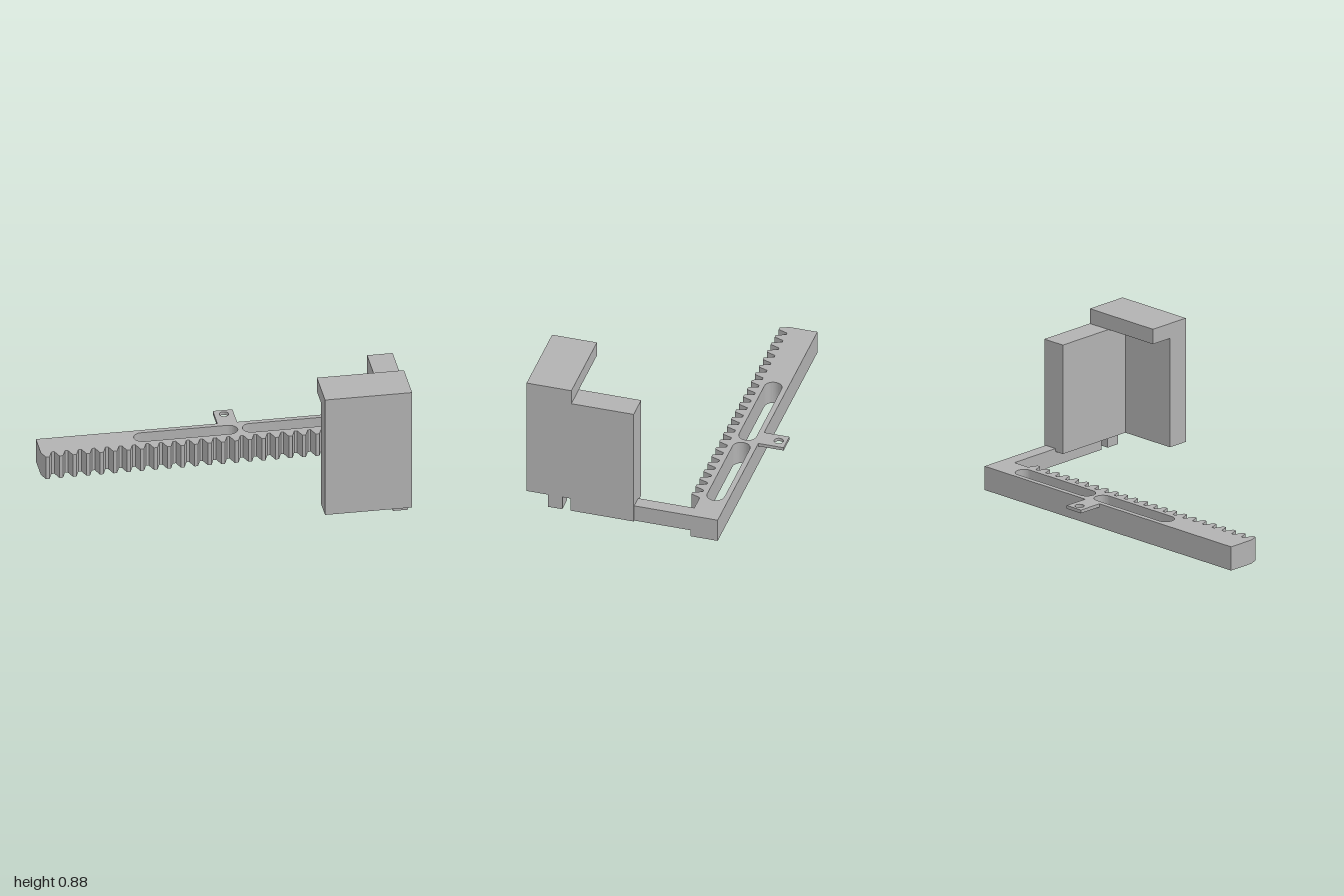
import * as THREE from 'three';
import { toCreasedNormals } from 'three/addons/utils/BufferGeometryUtils.js';

const grey = new THREE.MeshStandardMaterial({ color: 0xb2b2b2 });
grey.name = 'grey plastic';

const polygon = (points) => new THREE.Shape(points.map(([a, b]) => new THREE.Vector2(a, b)));

function addMesh(group, name, geometry) {
  const mesh = new THREE.Mesh(toCreasedNormals(geometry, 0.5), grey);
  mesh.name = name;
  group.add(mesh);
}

// Plan outline (x, -z) raised from y0 to y1
function plan(shape, y0, y1) {
  return new THREE.ExtrudeGeometry(shape, { depth: y1 - y0, bevelEnabled: false, curveSegments: 16 })
    .rotateX(-Math.PI / 2).translate(0, y0, 0);
}

// Side outline (z, y) swept from x0 to x1
function side(points, x0, x1) {
  return new THREE.ExtrudeGeometry(polygon(points), { depth: x1 - x0, bevelEnabled: false })
    .rotateY(-Math.PI / 2).translate(x1, 0, 0);
}

// Round-ended slot between x0 and x1, centred on plan height v
function slot(x0, x1, v, r) {
  const p = new THREE.Path();
  p.absarc(x1 - r, v, r, -Math.PI / 2, Math.PI / 2);
  p.absarc(x0 + r, v, r, Math.PI / 2, Math.PI * 1.5);
  p.closePath();
  return p;
}

export function createModel() {
  const model = new THREE.Group();
  model.name = 'rackSlider';

  // Toothed rack bar with two through slots
  const root = 0.333, tip = 0.277, back = 0.498;
  const outline = [[0.99, root], [0.99, back], [-1, back]];
  for (let i = 0; i < 23; i++) {
    const x = -0.969 + i * 0.079;
    outline.push([x - 0.031, root], [x - 0.0105, tip], [x + 0.0105, tip], [x + 0.031, root]);
  }
  const bar = polygon(outline);
  bar.holes.push(slot(-0.441, 0.167, 0.415, 0.052), slot(0.195, 0.803, 0.415, 0.052));
  addMesh(model, 'rack', plan(bar, 0, 0.145));

  // Thin rear tab with a screw hole
  const tab = polygon([[0.063, back], [0.178, back], [0.178, 0.65], [0.063, 0.65]]);
  tab.holes.push(new THREE.Path().absarc(0.12, 0.603, 0.027, 0, Math.PI * 2));
  addMesh(model, 'mountingTab', plan(tab, 0.125, 0.145));

  // Arm joining the rack to the housing
  const arm = polygon([[0.91, -0.005], [0.99, -0.005], [0.99, root], [0.91, root]]);
  addMesh(model, 'arm', plan(arm, 0.042, 0.145));

  // Housing: side plate, then front plate with its top ledge
  addMesh(model, 'sidePlate',
    side([[0.005, 0.127], [0.52, 0.127], [0.52, 0.793], [0.005, 0.793]], 0.85, 1));
  addMesh(model, 'frontPlate',
    side([[0.52, 0.127], [0.65, 0.127], [0.65, 0.884], [0.38, 0.884], [0.38, 0.793], [0.52, 0.793]], 0.49, 1));

  // Rail and catch below the side plate, with a notch between
  for (const [name, z0, z1] of [['rail', 0.005, 0.385], ['catch', 0.435, 0.52]]) {
    addMesh(model, name, side([[z0, 0.042], [z1, 0.042], [z1, 0.127], [z0, 0.127]], 0.91, 1));
  }
  return model;
}
